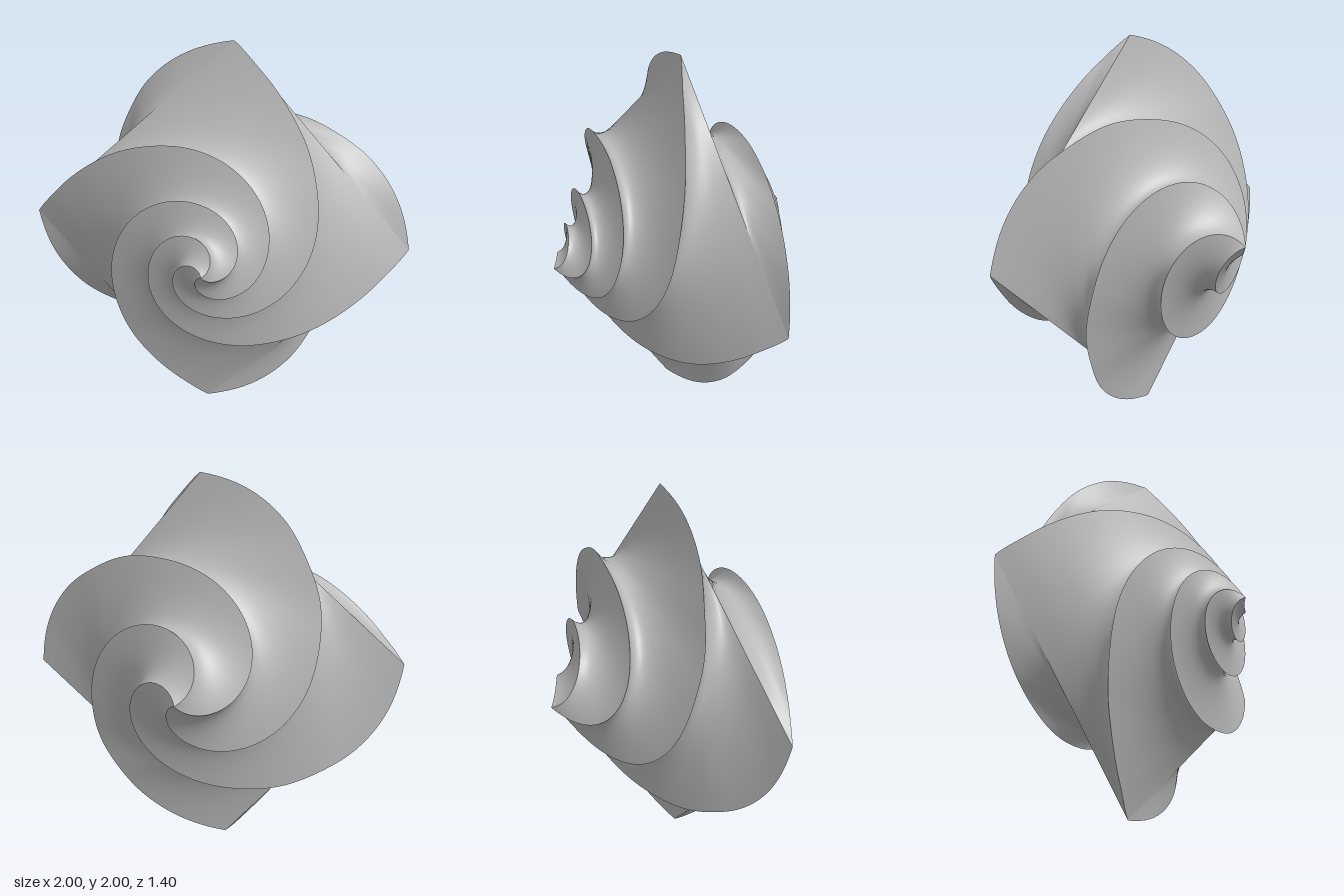
import * as THREE from 'three';

const HEIGHT = 0.7;        // tip distance along z on each side
const START = 86;          // angle of the first corner at the equator, degrees
const ROWS = 100, COLS = 24;

// Twist in degrees against distance from the equator
const frontTwist = new THREE.CubicInterpolant(
  [0, 0.085, 0.2, 0.31, 0.48, 0.585, 0.7],
  [0, 11, 33, 66, 157, 246, 335], 1, [0]);
const backTwist = new THREE.CubicInterpolant(
  [0, 0.034, 0.08, 0.15, 0.19, 0.27, 0.475, 0.7],
  [0, 14, 28, 45, 57, 80, 165, 250], 1, [0]);

// One side of a square pyramid, shrinking to the tip while it twists
function twistedPanel(k, front) {
  const pos = [], index = [];
  for (let j = 0; j <= ROWS; j++) {
    const d = HEIGHT * (front ? j / ROWS : 1 - j / ROWS);
    const r = Math.max(1 - d / HEIGHT, 0.0005);
    const turn = front ? -frontTwist.evaluate(d)[0] : backTwist.evaluate(d)[0];
    const a = THREE.MathUtils.degToRad(START + k * 90 + turn);
    for (let i = 0; i <= COLS; i++) {
      const s = i / COLS;
      // straight line between two neighbouring corners of the square
      pos.push(
        r * ((1 - s) * Math.cos(a) - s * Math.sin(a)),
        r * ((1 - s) * Math.sin(a) + s * Math.cos(a)),
        front ? d : -d);
    }
  }
  for (let j = 0; j < ROWS; j++) {
    for (let i = 0; i < COLS; i++) {
      const p = j * (COLS + 1) + i, q = p + COLS + 1;
      index.push(p, p + 1, q + 1, p, q + 1, q);
    }
  }
  const geo = new THREE.BufferGeometry();
  geo.setAttribute('position', new THREE.Float32BufferAttribute(pos, 3));
  geo.setIndex(index);
  geo.computeVertexNormals();
  return geo;
}

export function createModel() {
  const group = new THREE.Group();
  group.name = 'twistedOctahedron';
  const grey = new THREE.MeshStandardMaterial({ color: 0xb8b8b8 });
  grey.name = 'grey';

  // Four panels per half, kept separate so the ridges stay sharp
  for (const front of [true, false]) {
    for (let k = 0; k < 4; k++) {
      const mesh = new THREE.Mesh(twistedPanel(k, front), grey);
      mesh.name = (front ? 'frontPanel' : 'backPanel') + (k + 1);
      mesh.position.y = 1;
      group.add(mesh);
    }
  }
  return group;
}
